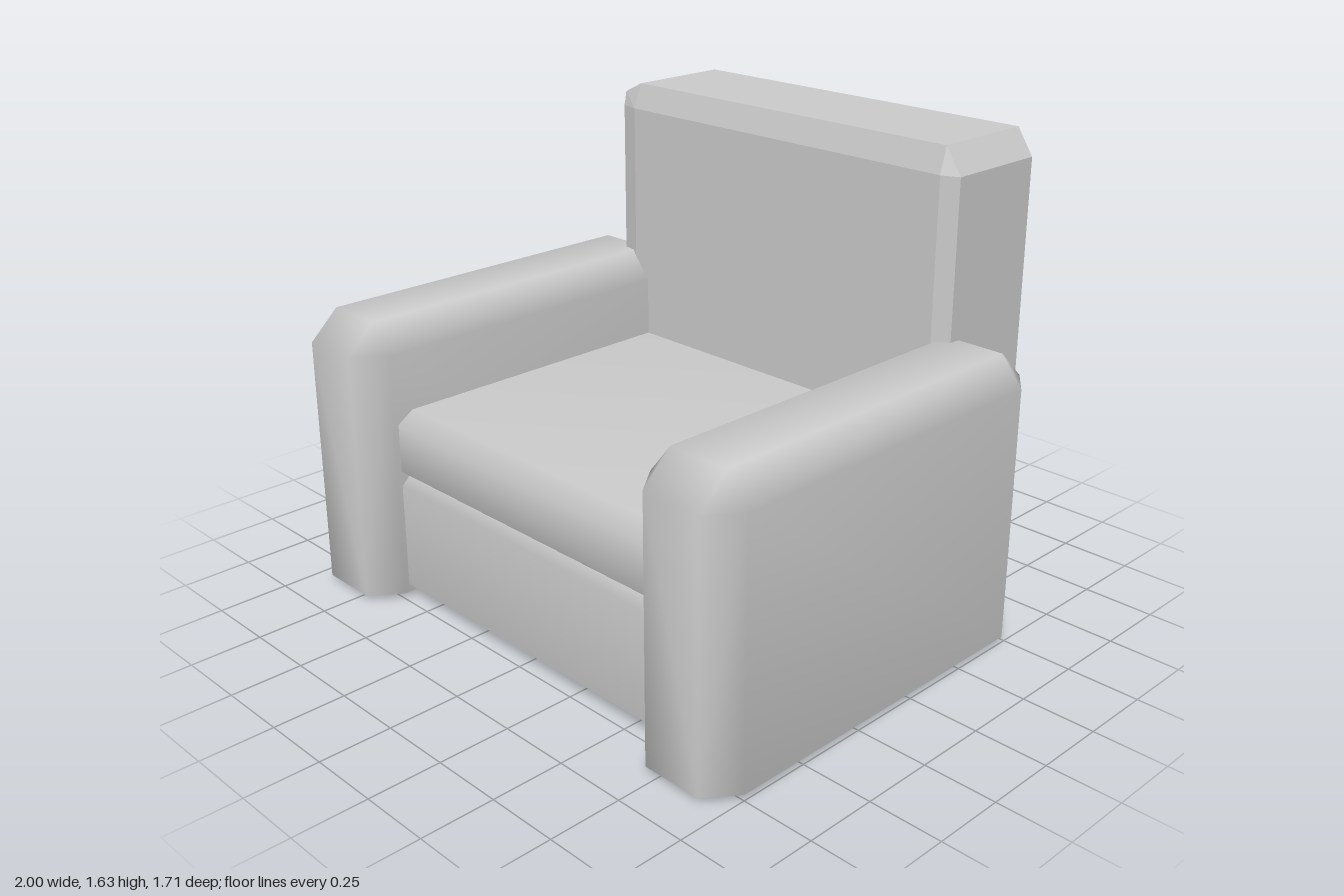
import * as THREE from 'three';
import { ConvexGeometry } from 'three/addons/geometries/ConvexGeometry.js';
import { mergeVertices } from 'three/addons/utils/BufferGeometryUtils.js';

// Corner points of a box whose edges are cut by a separate inset on each side
function chamferPoints(lo, hi, insetLo, insetHi) {
  const points = [];
  for (let corner = 0; corner < 8; corner++) {
    for (let outer = 0; outer < 3; outer++) {
      const p = [0, 1, 2].map((axis) => {
        const high = (corner >> axis) & 1;
        const keep = axis === outer ? 0 : 1;
        return high ? hi[axis] - keep * insetHi[axis] : lo[axis] + keep * insetLo[axis];
      });
      points.push(new THREE.Vector3(...p));
    }
  }
  return points;
}

// Solid through the points, with faceted or soft shading
function solid(points, soft) {
  const geometry = new ConvexGeometry(points);
  if (!soft) return geometry;
  geometry.deleteAttribute('normal');
  const merged = mergeVertices(geometry, 1e-4);
  merged.computeVertexNormals();
  return merged;
}

export function createModel() {
  const model = new THREE.Group();
  model.name = 'armchair';
  const upholstery = new THREE.MeshStandardMaterial({ color: 0xcccccc });
  upholstery.name = 'grey upholstery';

  const add = (name, points, soft) => {
    const mesh = new THREE.Mesh(solid(points, soft), upholstery);
    mesh.name = name;
    model.add(mesh);
  };

  // Padded arms
  for (const [name, x0, x1] of [['leftArm', 0.626, 1], ['rightArm', -1, -0.626]]) {
    add(name, chamferPoints(
      [x0, 0, -0.59], [x1, 1, 0.855],
      [0.08, 0.02, 0.105], [0.08, 0.1, 0.105]), true);
  }

  // Seat base and the cushion on it
  add('seatBase', chamferPoints(
    [-0.68, 0.02, -0.5], [0.626, 0.465, 0.73],
    [0.05, 0.03, 0.03], [0.03, 0.04, 0.04]), true);
  add('seatCushion', chamferPoints(
    [-0.68, 0.43, -0.5], [0.626, 0.69, 0.73],
    [0.05, 0.05, 0.03], [0.03, 0.04, 0.06]), true);

  // Backrest: bevelled on its left end, almost square on its right end
  const back = [];
  const put = (x, y, z) => back.push(new THREE.Vector3(x, y, z));
  for (const y of [0.055, 1.54]) {
    for (const z of [-0.445, -0.825]) put(0.75, y, z);
    put(0.69, y, -0.42);
    put(0.69, y, -0.855);
    put(-0.69, y, -0.42);
    put(-0.76, y, -0.435);
    put(-0.76, y, -0.855);
  }
  for (const z of [-0.445, -0.825]) {
    put(0.69, 1.63, z);
    put(-0.68, 1.63, z);
    put(-0.76, 1.59, z);
    put(0.69, 0.02, z);
    put(-0.76, 0.02, z);
  }
  add('backrest', back, false);

  return model;
}
